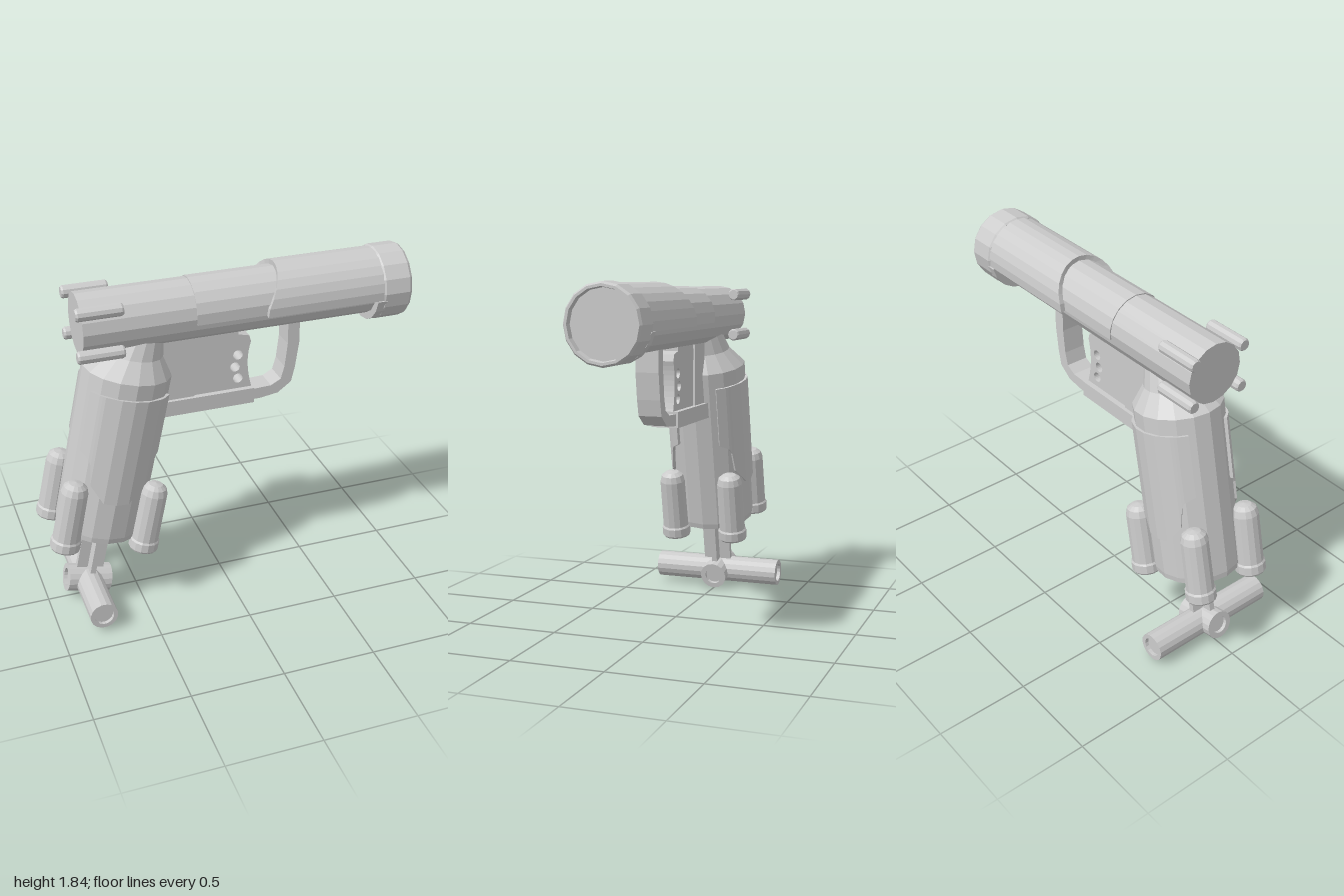
import * as THREE from 'three';

const material = new THREE.MeshStandardMaterial({ color: 0xcccccc, flatShading: true });

function add(parent, name, geometry, x = 0, y = 0, z = 0) {
  const mesh = new THREE.Mesh(geometry, material);
  mesh.name = name;
  mesh.position.set(x, y, z);
  parent.add(mesh);
  return mesh;
}

const lathe = (points, sides = 16) =>
  new THREE.LatheGeometry(points.map(([r, y]) => new THREE.Vector2(r, y)), sides);

// Tube with shallow recessed ends
const socketTube = (r, ri, h, d) => lathe([
  [0, -h + d], [ri, -h + d], [ri, -h], [r, -h], [r, h], [ri, h], [ri, h - d], [0, h - d]]);

// Slab wrapped round the y axis; each column is [degrees from +z, low y, high y]
function wrappedPanel(columns, rOut, rIn) {
  const pos = [], index = [];
  for (const [deg, lo, hi] of columns) {
    const s = Math.sin(deg * Math.PI / 180), c = Math.cos(deg * Math.PI / 180);
    for (const [r, y] of [[rOut, lo], [rOut, hi], [rIn, hi], [rIn, lo]]) pos.push(r * s, y, r * c);
  }
  const n = columns.length;
  for (let j = 0; j < n - 1; j++) {
    for (let k = 0; k < 4; k++) {
      const a = j * 4 + k, b = a + 4, d = j * 4 + (k + 1) % 4, c = d + 4;
      index.push(a, b, c, a, c, d);
    }
  }
  const e = (n - 1) * 4;
  index.push(0, 1, 2, 0, 2, 3, e + 3, e + 2, e + 1, e + 3, e + 1, e);
  const g = new THREE.BufferGeometry();
  g.setAttribute('position', new THREE.Float32BufferAttribute(pos, 3));
  g.setIndex(index);
  g.computeVertexNormals();
  return g;
}

// Evenly spaced columns over +-half degrees, with start and end rules
function arc(half, steps, lo, hi) {
  return Array.from({ length: steps + 1 }, (_, i) => {
    const deg = -half + 2 * half * i / steps;
    return [deg, lo(deg), hi(deg)];
  });
}

// Flat outline in x,y extruded evenly either side of z = 0
function plate(shape, width) {
  return new THREE.ExtrudeGeometry(shape, { depth: width, bevelEnabled: false, curveSegments: 10 })
    .translate(0, 0, -width / 2);
}

function buildBarrel() {
  const barrel = new THREE.Group();
  barrel.name = 'barrelAssembly';
  barrel.position.y = 1.642;

  const along = g => g.rotateZ(-Math.PI / 2);
  const turn = new THREE.Matrix4().makeBasis(
    new THREE.Vector3(0, 0, 1), new THREE.Vector3(1, 0, 0), new THREE.Vector3(0, 1, 0));

  add(barrel, 'barrel', along(new THREE.CylinderGeometry(0.16, 0.16, 1.65, 16)), 0.075);

  // Upper cover and the wider sleeve with its sloping rear edge
  add(barrel, 'upperCover', wrappedPanel(
    arc(101, 10, () => -0.17, () => 0.32), 0.165, 0.15).applyMatrix4(turn));
  add(barrel, 'sleeve', wrappedPanel(
    arc(101, 14, d => 0.2 + 0.09 * Math.max(0, Math.cos(d * Math.PI / 180)), () => 0.86),
    0.19, 0.15).applyMatrix4(turn));

  // Muzzle ring with recessed face, and the lower collar behind it
  add(barrel, 'muzzle', along(lathe([
    [0, 0.84], [0.19, 0.84], [0.198, 0.85], [0.198, 0.985], [0.188, 1],
    [0.175, 1], [0.17, 0.97], [0, 0.97]])));
  add(barrel, 'lowerCollar', wrappedPanel(
    arc(79, 8, () => 0.807, () => 0.86), 0.197, 0.15).applyMatrix4(turn).rotateX(Math.PI));

  // Four pins at the rear
  for (const y of [0.112, -0.115]) {
    for (const z of [-0.15, 0.15]) {
      add(barrel, 'rearPin', along(lathe([
        [0, -0.785], [0.027, -0.785], [0.033, -0.775], [0.033, -0.555], [0.027, -0.545], [0, -0.545]], 10)),
      0, y, z);
    }
  }
  return barrel;
}

function buildGrip() {
  const grip = new THREE.Group();
  grip.name = 'gripAssembly';
  grip.position.set(-0.5, 1.36, 0);
  grip.rotation.z = -0.215;

  // Body with a shoulder that leans forward into the neck
  const body = lathe([[0, -0.93], [0.23, -0.93], [0.235, -0.9], [0.235, 0], [0.155, 0.095], [0.12, 0.2], [0, 0.2]]);
  const p = body.attributes.position;
  for (let i = 0; i < p.count; i++) p.setX(i, p.getX(i) + Math.max(0, p.getY(i)) * 0.2);
  add(grip, 'gripBody', body.scale(1, 1, 0.95));

  // Raised side panels with a stepped lower edge
  const half = [[58, -0.42], [44, -0.45], [40, -0.48], [36, -0.59], [16, -0.68]];
  const columns = [
    ...half.map(([a, y]) => [-a, y, -0.085]), [0, -0.685, -0.085],
    ...half.slice().reverse().map(([a, y]) => [a, y, -0.085])];
  for (const turn of [0, Math.PI]) {
    add(grip, 'sidePanel', wrappedPanel(columns, 0.248, 0.21).scale(1, 1, 0.95)).rotation.y = turn;
  }

  // Four domed canisters
  for (const x of [-0.217, 0.217]) {
    for (const z of [-0.172, 0.172]) {
      add(grip, 'canister', lathe([
        [0, -0.98], [0.075, -0.98], [0.081, -0.97], [0.081, -0.925], [0.074, -0.915],
        [0.072, -0.64], [0.062, -0.605], [0.038, -0.587], [0, -0.58]], 14), x, 0, z);
    }
  }

  // Cross-shaped rod and the two crossing tubes at its foot
  add(grip, 'rod', new THREE.BoxGeometry(0.15, 0.38, 0.03), 0, -1.1, 0);
  add(grip, 'rod', new THREE.BoxGeometry(0.03, 0.38, 0.16), 0, -1.1, 0);
  add(grip, 'crossTube', socketTube(0.075, 0.052, 0.37, 0.02).rotateX(Math.PI / 2), 0, -1.285, 0);
  add(grip, 'shortTube', socketTube(0.077, 0.048, 0.12, 0.02).rotateZ(Math.PI / 2), 0, -1.285, 0);
  return grip;
}

function buildTrigger() {
  const group = new THREE.Group();
  group.name = 'triggerAssembly';

  add(group, 'lowerBar', new THREE.BoxGeometry(0.55, 0.085, 0.15), -0.105, 1.115, 0);
  add(group, 'rearPlate', new THREE.BoxGeometry(0.25, 0.36, 0.11), -0.28, 1.33, 0);

  // Trigger with concave front and three holes
  const trigger = new THREE.Shape();
  trigger.moveTo(-0.17, 1.14);
  trigger.lineTo(0.17, 1.14);
  trigger.quadraticCurveTo(0.12, 1.3, 0.16, 1.42);
  trigger.lineTo(0.15, 1.455);
  trigger.lineTo(0.09, 1.47);
  trigger.lineTo(0.09, 1.51);
  trigger.lineTo(-0.15, 1.51);
  trigger.quadraticCurveTo(-0.17, 1.35, -0.17, 1.14);
  for (const [x, y] of [[0.088, 1.352], [0.072, 1.284], [0.088, 1.216]]) {
    trigger.holes.push(new THREE.Path().absarc(x, y, 0.027, 0, Math.PI * 2, true));
  }
  add(group, 'trigger', plate(trigger, 0.09));

  // Guard sweeping up to the barrel
  const guard = new THREE.Shape([
    [0.15, 1.085], [0.21, 1.085], [0.31, 1.1], [0.385, 1.155], [0.405, 1.24], [0.425, 1.38], [0.425, 1.51],
    [0.36, 1.51], [0.36, 1.38], [0.345, 1.25], [0.325, 1.18], [0.27, 1.15], [0.15, 1.145],
  ].map(([x, y]) => new THREE.Vector2(x, y)));
  add(group, 'triggerGuard', plate(guard, 0.125));
  return group;
}

export function createModel() {
  const model = new THREE.Group();
  model.name = 'model';
  model.add(buildBarrel(), buildGrip(), buildTrigger());
  return model;
}
